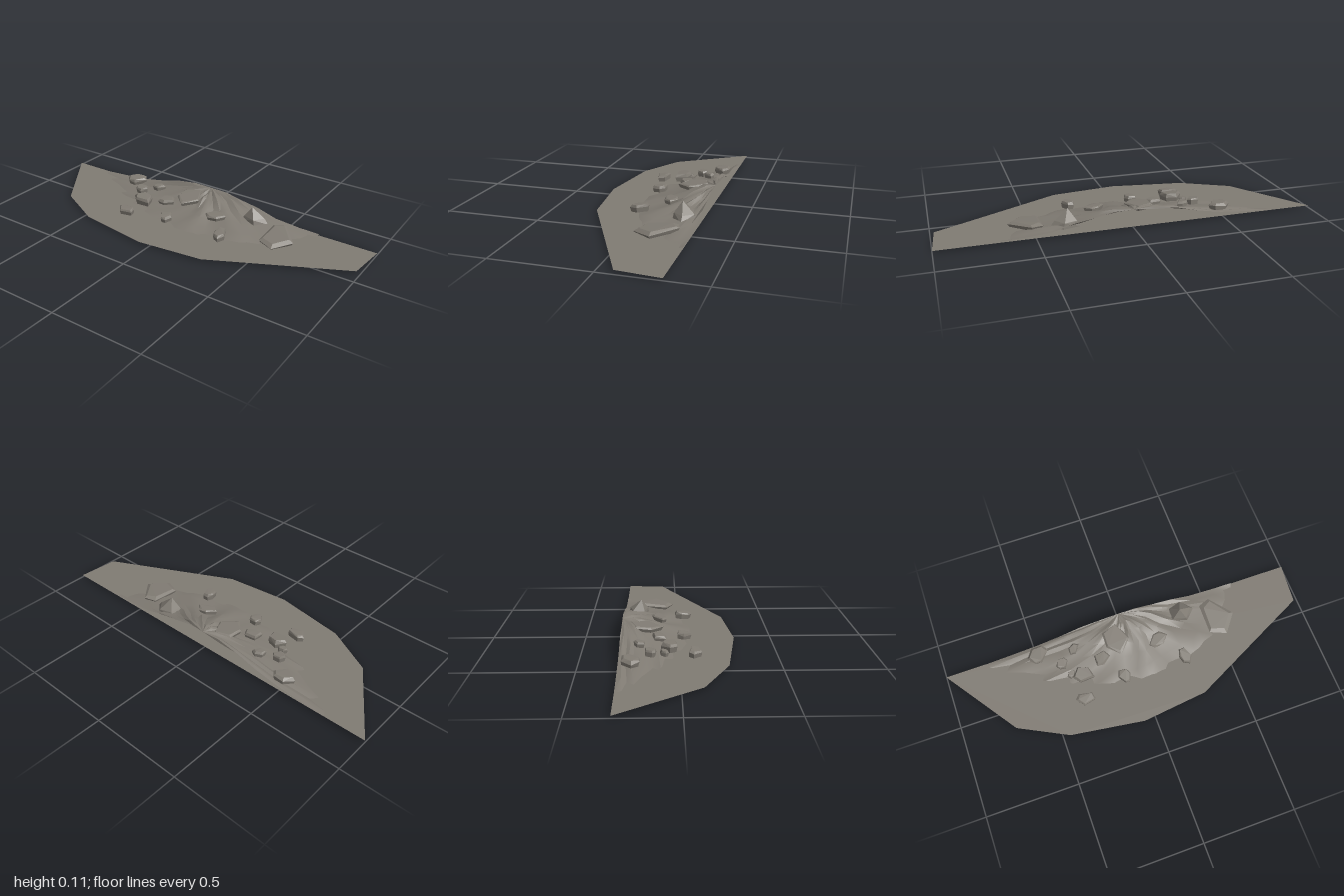
import * as THREE from 'three';
import { toCreasedNormals } from 'three/addons/utils/BufferGeometryUtils.js';
import { ConvexGeometry } from 'three/addons/geometries/ConvexGeometry.js';

// small seeded random generator
function seeded(seed) {
  let s = seed;
  return () => {
    s = (s * 16807) % 2147483647;
    return s / 2147483647;
  };
}

const stone = new THREE.MeshStandardMaterial({ color: 0x807b73, side: THREE.DoubleSide });
stone.name = 'grey stone';

function addMesh(group, name, geometry) {
  const mesh = new THREE.Mesh(geometry, stone);
  mesh.name = name;
  group.add(mesh);
  return mesh;
}

// flat ground sheet, thin as paper
function groundSheet() {
  const corners = [[-1, -0.3], [-0.72, 0.105], [-0.46, 0.24], [-0.06, 0.3], [0.3, 0.26], [0.98, -0.08], [1, -0.3]];
  const shape = new THREE.Shape(corners.map(([x, z]) => new THREE.Vector2(x, -z)));
  return new THREE.ShapeGeometry(shape).rotateX(-Math.PI / 2).translate(0, 0.012, 0);
}

// half mound, open at the back: rings from the crest out to a ragged edge
function mound() {
  const random = seeded(41);
  const edge = new THREE.CatmullRomCurve3([
    [-0.77, -0.3], [-0.66, -0.21], [-0.45, -0.08], [-0.25, 0.01], [0, 0.075],
    [0.2, 0.055], [0.45, -0.015], [0.6, -0.16], [0.68, -0.3],
  ].map(([x, z]) => new THREE.Vector3(x, 0, z)));
  const rings = [[0, 0.106], [0.15, 0.102], [0.29, 0.087], [0.45, 0.062], [0.62, 0.04], [0.83, 0.025], [1, 0.008]];
  const columns = 26;
  const positions = [];
  const index = [];
  rings.forEach(([t, height], r) => {
    const outer = r === rings.length - 1;
    for (let c = 0; c <= columns; c++) {
      const end = c === 0 || c === columns;
      const p = edge.getPoint(c / columns);
      const wobble = r === 0 || end ? 0 : (random() - 0.5) * 0.06;
      const k = t + wobble;
      const bump = r === 0 ? 0 : (random() - 0.5) * 0.015;
      const lift = end && outer ? 0.01 : 0;
      positions.push(p.x * k, Math.max(0, height + bump + lift), -0.3 + (p.z + 0.3) * k);
      if (r > 0 && c > 0) {
        const w = columns + 1;
        const a = (r - 1) * w + c - 1;
        if (r > 1) index.push(a, a + w, a + 1);
        index.push(a + 1, a + w, a + w + 1);
      }
    }
  });
  const geometry = new THREE.BufferGeometry();
  geometry.setAttribute('position', new THREE.Float32BufferAttribute(positions, 3));
  geometry.setIndex(index);
  return toCreasedNormals(geometry, 0.5);
}

// chipped stone: uneven polygon rings with a narrower top
function rock(width, height, depth, seed) {
  const random = seeded(seed * 7919 + 13);
  const sides = 5 + (seed % 2);
  const points = [];
  for (let i = 0; i < sides; i++) {
    const a = ((i + random() * 0.5) / sides) * Math.PI * 2;
    const x = Math.cos(a) * width * 0.54;
    const z = Math.sin(a) * depth * 0.54;
    const top = 0.7 + random() * 0.2;
    points.push(new THREE.Vector3(x * 0.9, -height / 2, z * 0.9));
    points.push(new THREE.Vector3(x, height * (random() * 0.3 - 0.05), z));
    points.push(new THREE.Vector3(x * top, height * (0.4 + random() * 0.1), z * top));
  }
  return new ConvexGeometry(points);
}

// upright stone leaning to a sharp peak
function peakedRock() {
  const points = [];
  for (let i = 0; i < 5; i++) {
    const a = (i / 5) * Math.PI * 2;
    points.push(new THREE.Vector3(Math.cos(a) * 0.085, 0.03, Math.sin(a) * 0.06));
    points.push(new THREE.Vector3(Math.cos(a) * 0.06, 0.06, Math.sin(a) * 0.055));
  }
  points.push(new THREE.Vector3(-0.01, 0.115, 0.015));
  return new ConvexGeometry(points);
}

export function createModel() {
  const model = new THREE.Group();
  model.name = 'rubblePile';
  addMesh(model, 'groundSheet', groundSheet());
  addMesh(model, 'mound', mound());

  // loose stones: x, y, z, width, height, depth, turn
  const stones = [
    [-0.49, 0.054, -0.24, 0.115, 0.036, 0.09, 0.2],
    [-0.295, 0.07, -0.2, 0.07, 0.03, 0.05, 0.5],
    [-0.38, 0.055, -0.145, 0.065, 0.035, 0.06, 0.3],
    [-0.29, 0.055, -0.045, 0.115, 0.045, 0.085, -0.4],
    [-0.35, 0.04, -0.075, 0.05, 0.03, 0.035, 0.6],
    [-0.32, 0.03, 0.08, 0.1, 0.036, 0.07, -0.2],
    [-0.08, 0.038, 0.03, 0.065, 0.035, 0.08, 0.4],
    [-0.06, 0.08, -0.175, 0.13, 0.028, 0.18, 0.15],
    [0.27, 0.04, 0.035, 0.06, 0.04, 0.095, 0.2],
    [0.52, 0.029, -0.13, 0.18, 0.03, 0.21, 0.35],
    [0.16, 0.058, -0.1, 0.11, 0.028, 0.07, 0.4],
    [-0.17, 0.06, -0.1, 0.1, 0.028, 0.07, 0.3],
  ];
  stones.forEach(([x, y, z, width, height, depth, turn], i) => {
    const mesh = addMesh(model, 'looseStone' + (i + 1), rock(width, height, depth, i + 1));
    mesh.position.set(x, y, z);
    mesh.rotation.set(0.1, turn, 0);
  });
  addMesh(model, 'peakedStone', peakedRock()).position.set(0.335, 0, -0.22);
  return model;
}
